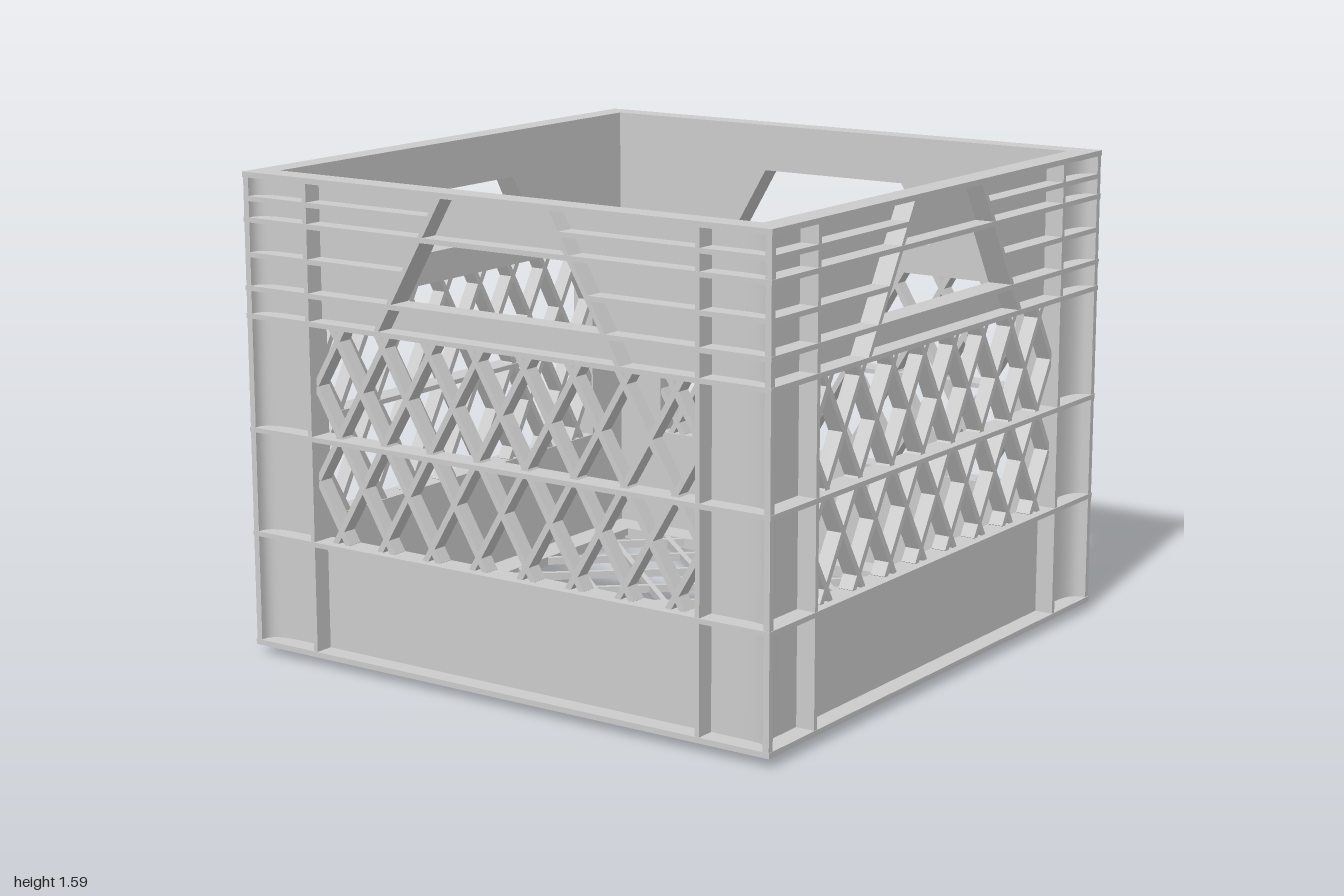
import * as THREE from 'three';
import { toCreasedNormals } from 'three/addons/utils/BufferGeometryUtils.js';

const mat = new THREE.MeshStandardMaterial({ color: 0xcccccc });
const H = 1.585, BASE = 0.03;      // top of rim, underside of shell
const IN = 0.915, SKIN = 0.935;    // inner and outer faces of the wall skin
const RIB = 0.016;                 // rib thickness
const MX = 0.738, MY0 = 0.41, MY1 = 1.118; // mesh window

function add(parent, name, geo, x = 0, y = 0, z = 0) {
  const m = new THREE.Mesh(geo, mat);
  m.name = name;
  m.position.set(x, y, z);
  parent.add(m);
  return m;
}

// box given by its min and max corners
function block(parent, name, x0, x1, y0, y1, z0, z1) {
  return add(parent, name, new THREE.BoxGeometry(x1 - x0, y1 - y0, z1 - z0),
    (x0 + x1) / 2, (y0 + y1) / 2, (z0 + z1) / 2);
}

const polygon = (pts) => pts.map(([x, y]) => new THREE.Vector2(x, y));
const square = (r) => polygon([[-r, -r], [r, -r], [r, r], [-r, r]]);

// extrude a plan shape upwards from y0 to y1
function prism(shape, y0, y1) {
  const g = new THREE.ExtrudeGeometry(shape, { depth: y1 - y0, bevelEnabled: false, curveSegments: 8 });
  g.rotateX(-Math.PI / 2).translate(0, y0, 0);
  return toCreasedNormals(g, 0.5);
}

// square frame lying flat
function ring(parent, name, outer, inner, y0, y1) {
  const s = new THREE.Shape(square(outer));
  s.holes.push(new THREE.Path(square(inner)));
  return add(parent, name, prism(s, y0, y1));
}

// straight bar in the xy plane, between two points
function bar(parent, name, a, b, width, depth, z) {
  const dx = b[0] - a[0], dy = b[1] - a[1];
  const m = add(parent, name, new THREE.BoxGeometry(Math.hypot(dx, dy), width, depth),
    (a[0] + b[0]) / 2, (a[1] + b[1]) / 2, z);
  m.rotation.z = Math.atan2(dy, dx);
}

// diamond lattice clipped to a rectangle; (cx, cy) is a crossing
function lattice(parent, name, x0, x1, y0, y1, cx, cy, pitch, run, width, depth, z) {
  for (const dir of [1, -1]) {
    const k = run * dir;           // change of x per unit of y
    for (let i = -20; i <= 20; i++) {
      const at = (y) => cx + i * pitch + (y - cy) * k;
      const inv = (x) => cy + (x - cx - i * pitch) / k;
      const lo = Math.max(y0, Math.min(inv(x0), inv(x1)));
      const hi = Math.min(y1, Math.max(inv(x0), inv(x1)));
      if (hi - lo > 0.03) bar(parent, name, [at(lo), lo], [at(hi), hi], width, depth, z);
    }
  }
}

// x of the slanted handle rib at height y
const slant = (y) => 0.2 + (1.575 - y) * 0.587;

function wall(offset) {
  const g = new THREE.Group();
  // solid lower panel
  block(g, 'lowerPanel', -MX, MX, BASE, MY0, IN, SKIN);

  // upper panel with the trapezoid hand hole
  const s = new THREE.Shape(polygon([[-MX, MY1], [MX, MY1], [MX, H], [-MX, H]]));
  const t = 1.43, b = 1.215;
  s.holes.push(new THREE.Path(polygon([[-slant(b), b], [slant(b), b], [slant(t), t], [-slant(t), t]])));
  add(g, 'upperPanel', new THREE.ExtrudeGeometry(s, { depth: SKIN - IN, bevelEnabled: false }), 0, 0, IN);

  // diamond mesh window
  lattice(g, 'meshBar', -MX, MX, MY0, MY1, offset, 0.61, 0.185, 0.6, 0.02, 0.05, 0.945);

  for (const side of [-1, 1]) {
    // upright rib and slanted handle rib
    block(g, 'uprightRib', side * 0.745 - RIB / 2, side * 0.745 + RIB / 2, BASE, H, IN, 0.998);
    bar(g, 'handleSideRib', [side * slant(MY1), MY1], [side * slant(1.575), 1.575], RIB, 0.998 - IN, (0.998 + IN) / 2);
    // short ribs that stop at the handle
    for (const y of [1.5, 1.32]) {
      const xs = [side * slant(y), side * 0.998].sort((p, q) => p - q);
      block(g, 'shortRib', xs[0], xs[1], y - RIB / 2, y + RIB / 2, SKIN - 0.01, 0.998);
    }
  }
  return g;
}

// corner post: angle section with hollow fillets running out to the edge
function cornerGeometry() {
  const s = new THREE.Shape();
  s.moveTo(MX, IN);
  s.lineTo(IN, IN);
  s.lineTo(IN, MX);
  s.lineTo(SKIN, MX);
  s.lineTo(SKIN, 0.87);
  s.quadraticCurveTo(SKIN, 0.975, 0.985, 0.977);
  s.lineTo(0.998, 0.977);
  s.lineTo(0.998, 0.998);
  s.lineTo(0.977, 0.998);
  s.lineTo(0.977, 0.985);
  s.quadraticCurveTo(0.975, SKIN, 0.87, SKIN);
  s.lineTo(MX, SKIN);
  s.closePath();
  return prism(s, BASE, H - 0.005);
}

export function createModel() {
  const crate = new THREE.Group();
  crate.name = 'crate';

  // four walls and corner posts
  const names = ['front', 'left', 'back', 'right'];
  const corner = cornerGeometry();
  names.forEach((n, i) => {
    const w = wall(i === 2 ? 0.02 : 0);
    w.name = n + 'Wall';
    w.rotation.y = i * Math.PI / 2;
    crate.add(w);
    add(crate, 'cornerPost', corner).rotation.y = i * Math.PI / 2;
  });

  // continuous ribs around the outside
  for (const y of [MY0 - 0.005, 0.75, 1.122, 1.212, 1.432])
    ring(crate, 'hoopRib', 1, IN, y - RIB / 2, y + RIB / 2);
  ring(crate, 'topRim', 1, IN, H - 0.018, H);

  // base: bottom flange, inner floor border and stacking foot
  ring(crate, 'bottomFlange', 1, 0.9, BASE, BASE + 0.018);
  ring(crate, 'floorBorder', 0.925, 0.81, BASE, 0.055);
  ring(crate, 'stackingFoot', 0.905, 0.86, 0, BASE + 0.002);

  // diamond floor grid
  const floor = new THREE.Group();
  floor.name = 'floorGrid';
  floor.rotation.x = -Math.PI / 2;
  lattice(floor, 'floorBar', -0.812, 0.812, -0.812, 0.812, 0, 0.51, 0.3, 1.12, 0.02, 0.026, 0.041);
  crate.add(floor);

  return crate;
}
